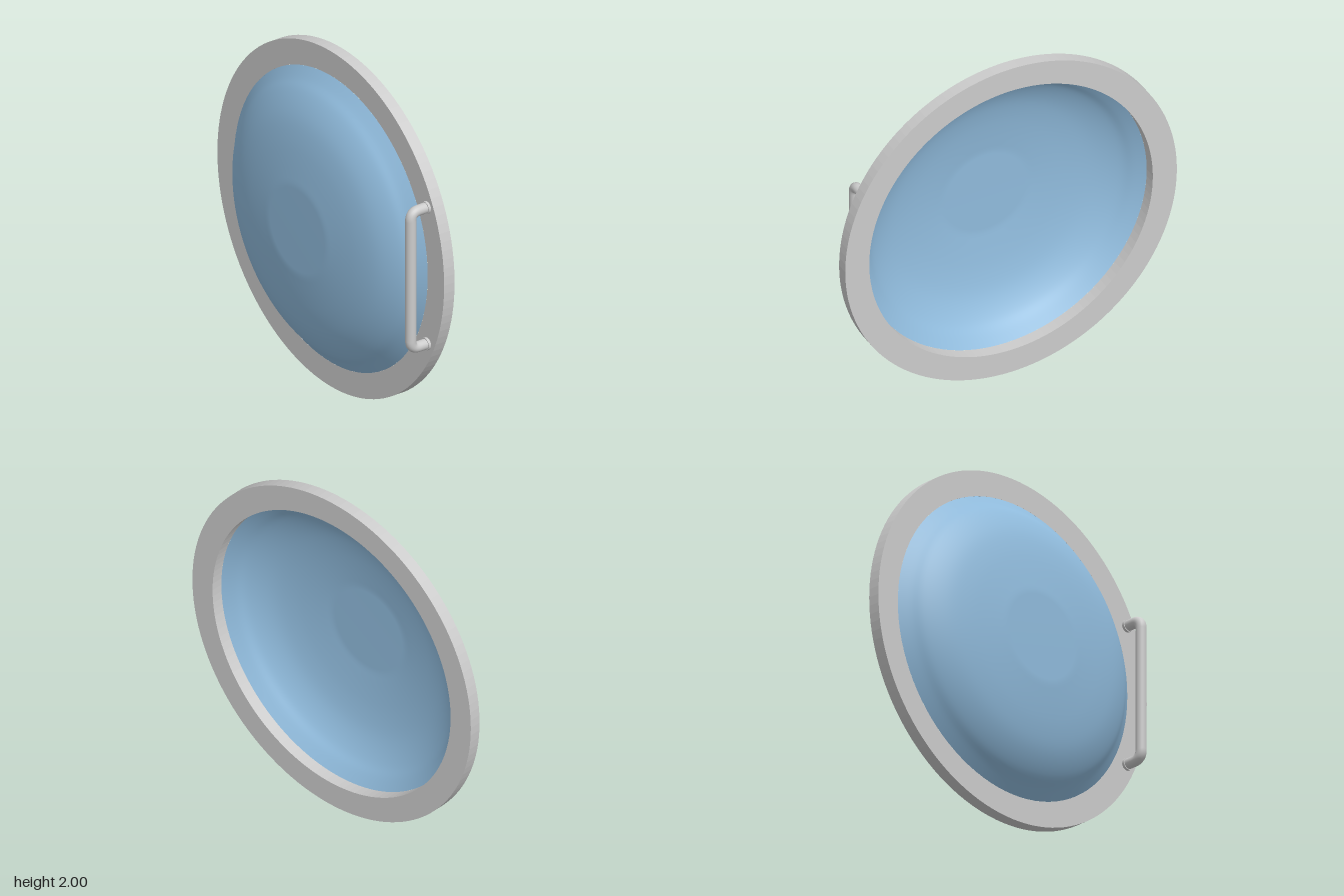
import * as THREE from 'three';

const RIM_BACK = -0.15, RIM_FRONT = -0.08, INNER = 0.855;

export function createModel() {
  const group = new THREE.Group();
  const grey = new THREE.MeshStandardMaterial({ color: 0xcccccc });
  const glass = new THREE.MeshStandardMaterial({ color: 0x8fbadb, side: THREE.DoubleSide });

  const add = (name, geometry, material, x = 0, y = 0, z = 0) => {
    const mesh = new THREE.Mesh(geometry, material);
    mesh.name = name;
    mesh.position.set(x, y, z);
    group.add(mesh);
    return mesh;
  };

  // Flat ring frame with a round opening
  const ring = new THREE.Shape().absarc(0, 0, 1, 0, Math.PI * 2);
  ring.holes.push(new THREE.Path().absarc(0, 0, INNER, 0, Math.PI * 2, true));
  add('rim', new THREE.ExtrudeGeometry(ring, {
    depth: RIM_FRONT - RIM_BACK, bevelEnabled: false, curveSegments: 64,
  }), grey, 0, 1, RIM_BACK);

  // Thin bulging glass: profile of radius and depth, flat in the middle
  const bulge = new THREE.SplineCurve([
    [INNER, RIM_FRONT], [0.8, -0.035], [0.75, 0.01], [0.68, 0.052], [0.6, 0.085],
    [0.5, 0.11], [0.39, 0.128], [0.27, 0.143],
  ].map(([r, z]) => new THREE.Vector2(r, z))).getPoints(28);
  bulge.push(new THREE.Vector2(0.24, 0.145), new THREE.Vector2(0, 0.145));
  const dome = new THREE.LatheGeometry(bulge, 96);
  dome.rotateX(Math.PI / 2);
  add('domedGlass', dome, glass, 0, 1, 0);

  // Handle: bent bar standing off the rim
  const hx = 0.85, low = 0.597, high = 1.41, front = 0.03, bend = 0.05;
  const v = (y, z) => new THREE.Vector3(hx, y, z);
  const path = new THREE.CurvePath();
  path.add(new THREE.LineCurve3(v(low, RIM_FRONT), v(low, front - bend)));
  path.add(new THREE.QuadraticBezierCurve3(v(low, front - bend), v(low, front), v(low + bend, front)));
  path.add(new THREE.LineCurve3(v(low + bend, front), v(high - bend, front)));
  path.add(new THREE.QuadraticBezierCurve3(v(high - bend, front), v(high, front), v(high, front - bend)));
  path.add(new THREE.LineCurve3(v(high, front - bend), v(high, RIM_FRONT)));
  add('handle', new THREE.TubeGeometry(path, 120, 0.03, 20), grey);

  // Small collars where the handle meets the rim
  for (const y of [low, high]) {
    const collar = new THREE.CylinderGeometry(0.035, 0.035, 0.015, 24).rotateX(Math.PI / 2);
    add('handleCollar', collar, grey, hx, y, RIM_FRONT + 0.0075);
  }
  return group;
}
